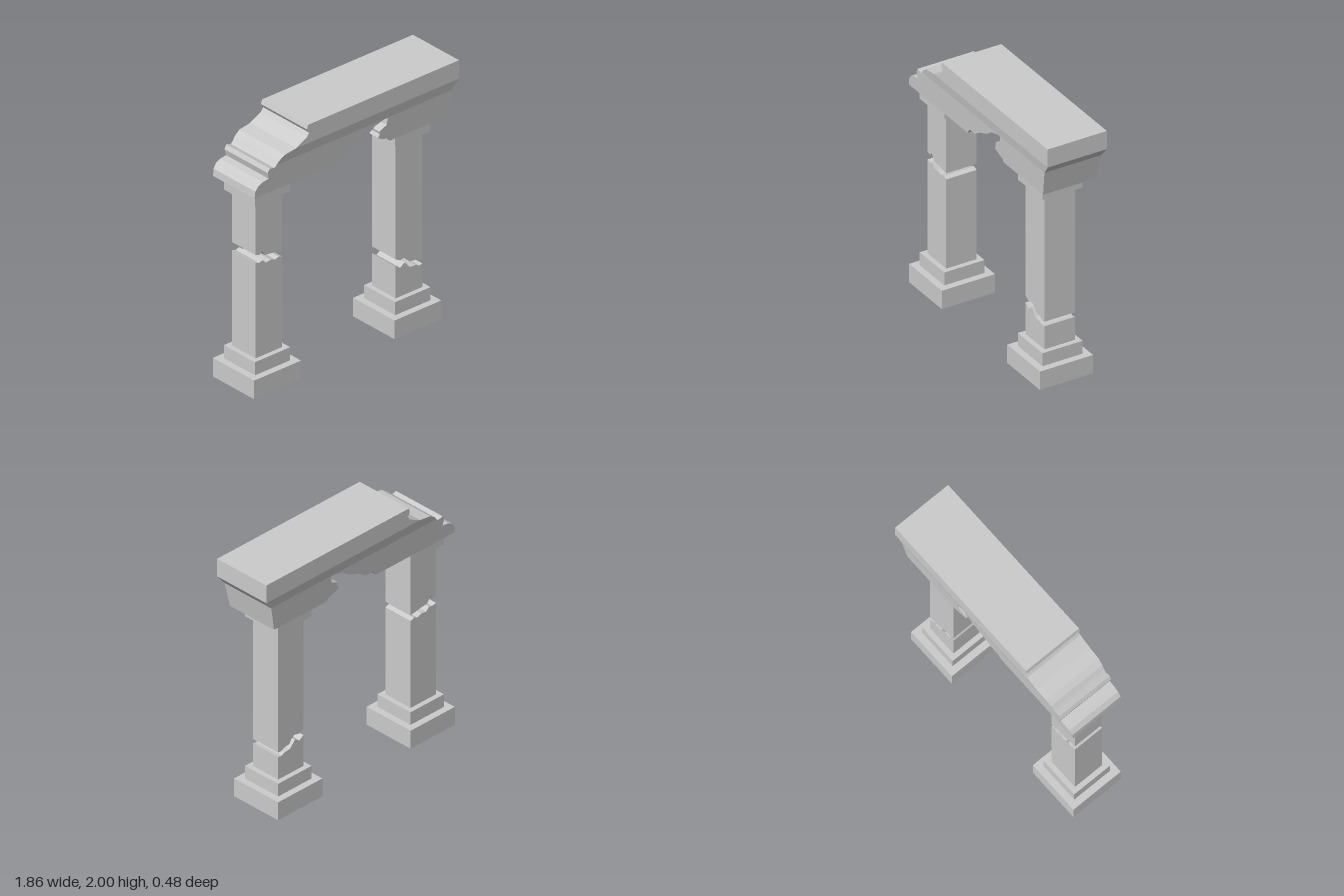
import * as THREE from 'three';

const material = new THREE.MeshStandardMaterial({ color: 0xcccccc, flatShading: true, side: THREE.DoubleSide });
const toPoints = (list) => list.map(([x, y]) => new THREE.Vector2(x, y));

function addMesh(parent, name, geometry, x = 0, y = 0, z = 0) {
  const mesh = new THREE.Mesh(geometry, material);
  mesh.name = name;
  mesh.position.set(x, y, z);
  parent.add(mesh);
}

// Square block standing on y0
function addBlock(parent, name, half, y0, y1) {
  addMesh(parent, name, new THREE.BoxGeometry(half * 2, y1 - y0, half * 2), 0, (y0 + y1) / 2);
}

// Shaft piece with a jagged end, extruded through the column's depth
function addShaft(parent, name, outline) {
  const half = 0.123;
  const geometry = new THREE.ExtrudeGeometry(new THREE.Shape(toPoints(outline)), { depth: half * 2, bevelEnabled: false });
  addMesh(parent, name, geometry, 0, 0, -half);
}

// Column: stepped base, shaft broken by a crack, capital.
// Crack lines run left to right, relative to the column's axis.
function createColumn(name, x, lowerCrack, upperCrack) {
  const column = new THREE.Group();
  column.name = name;
  column.position.x = x;
  addBlock(column, 'plinth', 0.215, 0, 0.147);
  addBlock(column, 'baseStep', 0.162, 0.147, 0.25);
  addShaft(column, 'lowerShaft', [[-0.123, 0.25], [0.123, 0.25], ...[...lowerCrack].reverse()]);
  addShaft(column, 'upperShaft', [...upperCrack, [0.123, 1.477], [-0.123, 1.477]]);
  addBlock(column, 'capital', 0.162, 1.477, 1.58);
  return column;
}

// Beam: outline bands stacked in y, whose depth widens towards the top
const SEAMS = [1.78, 1.855];
function halfDepth(y) {
  if (y <= SEAMS[0]) return 0.215 + (y - 1.58) * 0.065;
  if (y <= SEAMS[1]) return THREE.MathUtils.mapLinear(y, SEAMS[0], SEAMS[1], 0.228, 0.24);
  return 0.24;
}

function createBeamGeometry(bands) {
  const positions = [];
  const put = (p, side) => positions.push(p.x, p.y, side * halfDepth(p.y));
  for (const band of bands) {
    const points = toPoints(band);
    // front and back faces
    for (const [a, b, c] of THREE.ShapeUtils.triangulateShape(points, [])) {
      for (const i of [a, b, c]) put(points[i], 1);
      for (const i of [a, c, b]) put(points[i], -1);
    }
    // walls, left out where two bands join
    points.forEach((a, i) => {
      const b = points[(i + 1) % points.length];
      if (a.y === b.y && SEAMS.includes(a.y)) return;
      put(a, -1); put(b, -1); put(b, 1);
      put(a, -1); put(b, 1); put(a, 1);
    });
  }
  const geometry = new THREE.BufferGeometry();
  geometry.setAttribute('position', new THREE.Float32BufferAttribute(positions, 3));
  geometry.computeVertexNormals();
  return geometry;
}

export function createModel() {
  const model = new THREE.Group();
  model.name = 'ruinedGateway';

  model.add(createColumn('rightColumn', -0.717,
    [[-0.123, 1.0], [-0.088, 0.99], [-0.055, 1.0], [-0.028, 0.97], [0.017, 0.976], [0.06, 0.963], [0.09, 0.975], [0.123, 0.963]],
    [[-0.123, 1.065], [-0.088, 1.05], [-0.068, 1.075], [-0.035, 1.032], [0.017, 1.027], [0.123, 1.01]]));

  model.add(createColumn('leftColumn', 0.57,
    [[-0.123, 0.503], [-0.083, 0.476], [-0.04, 0.503], [0.007, 0.45], [0.065, 0.444], [0.09, 0.43], [0.123, 0.434]],
    [[-0.123, 0.556], [-0.083, 0.534], [-0.035, 0.545], [-0.004, 0.524], [0.012, 0.492], [0.06, 0.487], [0.09, 0.47], [0.123, 0.47]]));

  // lower band with the broken-out hollow
  const lower = [
    [-0.93, 1.58], [-0.165, 1.58], [-0.135, 1.62], [-0.06, 1.623], [0.005, 1.668], [0.095, 1.703], [0.17, 1.755],
    [0.25, 1.776], [0.283, 1.777], [0.275, 1.722], [0.21, 1.692], [0.215, 1.67], [0.2, 1.645], [0.22, 1.63],
    [0.29, 1.605], [0.315, 1.58], [0.825, 1.58], [0.865, 1.78], [-0.74, 1.78], [-0.757, 1.763], [-0.8, 1.776],
    [-0.817, 1.745], [-0.805, 1.695], [-0.86, 1.687], [-0.895, 1.672], [-0.925, 1.635],
  ];
  const cornice = [[-0.74, 1.78], [0.865, 1.78], [0.925, 1.855], [-0.57, 1.855], [-0.67, 1.84], [-0.715, 1.81]];
  const top = [[-0.57, 1.855], [0.925, 1.855], [0.925, 2], [-0.46, 2], [-0.47, 1.967], [-0.45, 1.935], [-0.475, 1.902]];
  addMesh(model, 'brokenBeam', createBeamGeometry([lower, cornice, top]));

  return model;
}
